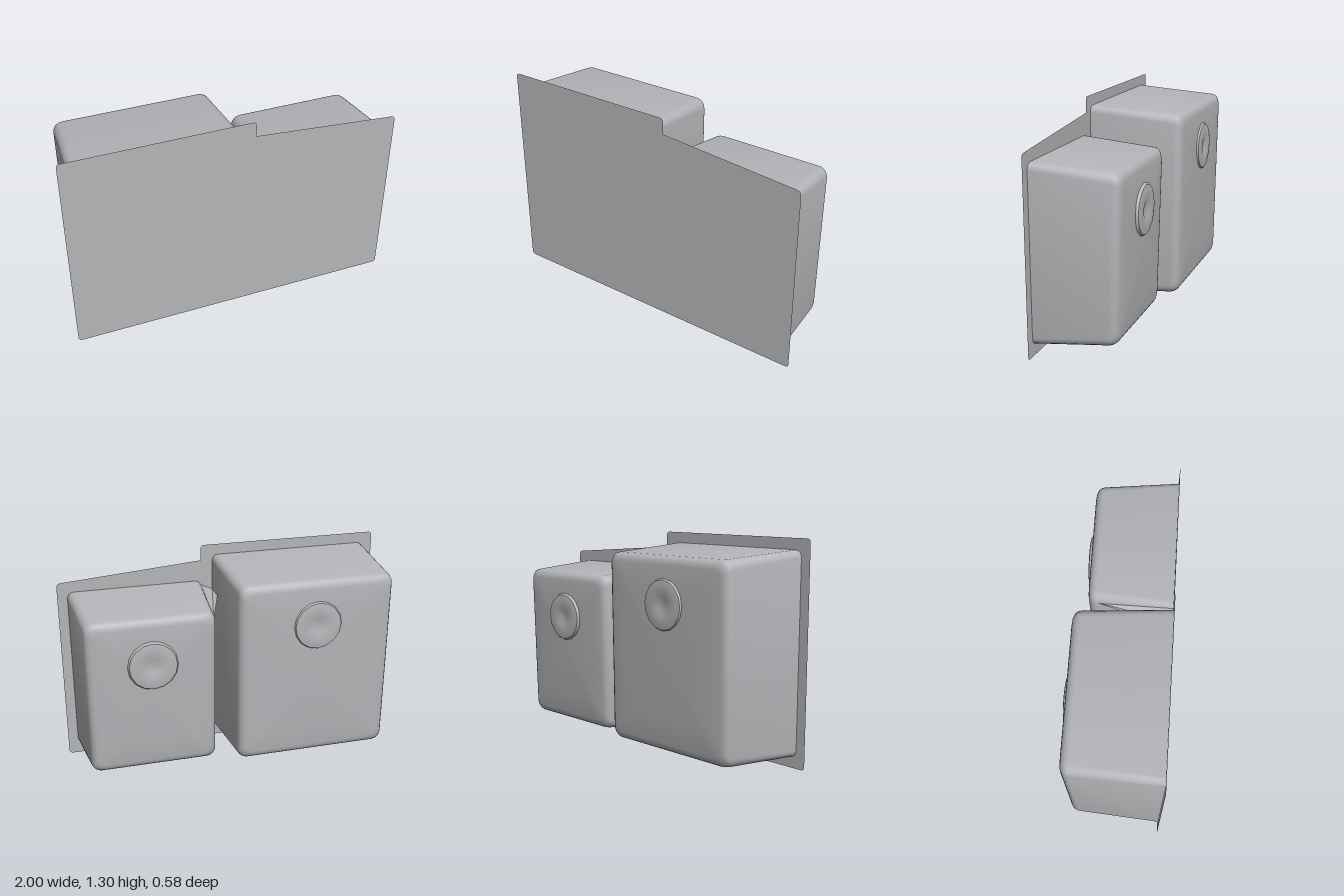
import * as THREE from 'three';
import { toCreasedNormals } from 'three/addons/utils/BufferGeometryUtils.js';

const FRONT = 0.29;

// Rounded rectangle, counter-clockwise seen from +z
function roundedRect(x0, x1, y0, y1, r, steps = 4) {
  const corners = [[x1 - r, y1 - r], [x0 + r, y1 - r], [x0 + r, y0 + r], [x1 - r, y0 + r]];
  const pts = [];
  corners.forEach(([cx, cy], c) => {
    for (let i = 0; i <= steps; i++) {
      const a = (c + i / steps) * Math.PI / 2;
      pts.push([cx + r * Math.cos(a), cy + r * Math.sin(a)]);
    }
  });
  return pts;
}

// Tapered bowl: rim section, rounded shoulder, then a softly crowned floor
function bowlGeometry({ rim, floor, zTop, zBottom, crown }) {
  const [fx0, fx1, fy0, fy1] = floor;
  const r = 0.05;
  const depthAt = y => THREE.MathUtils.lerp(zBottom, zTop, (y - fy0) / (fy1 - fy0));
  const rings = [roundedRect(...rim, 0.04).map(([x, y]) => [x, y, FRONT])];
  for (let i = 0; i <= 4; i++) {
    const a = i / 4 * Math.PI / 2, inset = r * (1 - Math.cos(a));
    rings.push(roundedRect(fx0 + inset, fx1 - inset, fy0 + inset, fy1 - inset, 0.055)
      .map(([x, y]) => [x, y, depthAt(y) + r * (1 - Math.sin(a))]));
  }
  const cx = (fx0 + fx1) / 2, cy = (fy0 + fy1) / 2;
  const edge = rings[rings.length - 1];
  for (const s of [0.75, 0.5, 0.25, 0]) {
    rings.push(edge.map(([x, y]) => {
      const py = cy + (y - cy) * s;
      return [cx + (x - cx) * s, py, depthAt(py) - crown * (1 - s * s)];
    }));
  }
  const n = edge.length, index = [];
  for (let k = 0; k < rings.length - 1; k++) {
    for (let i = 0; i < n; i++) {
      const a = k * n + i, b = k * n + (i + 1) % n;
      index.push(a, a + n, b);
      if (k < rings.length - 2) index.push(b, a + n, b + n);
    }
  }
  const g = new THREE.BufferGeometry();
  g.setAttribute('position', new THREE.Float32BufferAttribute(rings.flat(2), 3));
  g.setIndex(index);
  return toCreasedNormals(g, 0.6);
}

export function createModel() {
  const group = new THREE.Group();
  const steel = new THREE.MeshStandardMaterial({ color: 0xb4b5b8, side: THREE.DoubleSide });
  steel.name = 'brushed steel';
  const add = (name, geometry, parent = group) => {
    const mesh = new THREE.Mesh(geometry, steel);
    mesh.name = name;
    parent.add(mesh);
    return mesh;
  };

  // Flat front sheet with a stepped, sloping top edge
  const r = 0.025, s = new THREE.Shape();
  s.moveTo(-1 + r, 0);
  s.lineTo(1 - r, 0);
  s.quadraticCurveTo(1, 0, 1, r);
  s.lineTo(1, 1.115);
  s.quadraticCurveTo(1, 1.138, 1 - r, 1.142);
  s.lineTo(0.12, 1.21);
  s.lineTo(0.12, 1.305 - r);
  s.quadraticCurveTo(0.12, 1.305, 0.12 - r, 1.305);
  s.lineTo(-1 + r, 1.305);
  s.quadraticCurveTo(-1, 1.305, -1, 1.305 - r);
  s.lineTo(-1, r);
  s.quadraticCurveTo(-1, 0, -1 + r, 0);
  add('frontSheet', new THREE.ShapeGeometry(s, 5)).position.z = FRONT;

  // Two bowls, each with a raised drain ring on its back
  const bowls = [
    { name: 'largeBowl', rim: [-0.94, 0.05, 0.065, 1.24], floor: [-0.91, 0.03, 0.095, 1.21],
      zTop: -0.275, zBottom: -0.255, crown: 0.012, drain: [-0.44, 0.94, -0.281] },
    { name: 'smallBowl', rim: [0.12, 0.94, 0.065, 1.08], floor: [0.15, 0.91, 0.095, 1.05],
      zTop: -0.207, zBottom: -0.18, crown: 0.014, drain: [0.53, 0.77, -0.217] },
  ];
  for (const b of bowls) {
    const bowl = new THREE.Group();
    bowl.name = b.name;
    group.add(bowl);
    add(b.name + 'Shell', bowlGeometry(b), bowl);
    const profile = [[0, 0.003], [0.035, 0.003], [0.06, 0.011], [0.115, 0.011], [0.14, 0.007], [0.15, -0.01]]
      .map(([x, y]) => new THREE.Vector2(x, y)).reverse();
    const drain = add(b.name + 'Drain', toCreasedNormals(new THREE.LatheGeometry(profile, 16), 0.4), bowl);
    drain.rotation.x = -Math.PI / 2;
    drain.position.set(...b.drain);
  }

  // Sloping web joining the upper corner of the small bowl to the large one
  const web = new THREE.BufferGeometry();
  web.setAttribute('position', new THREE.Float32BufferAttribute([
    0.16, 1.0, -0.17, 0.05, 1.02, 0.16, 0.05, 1.02, FRONT, 0.14, 1.06, FRONT], 3));
  web.setIndex([0, 1, 2, 0, 2, 3]);
  add('bowlWeb', toCreasedNormals(web, 0.2));

  return group;
}
